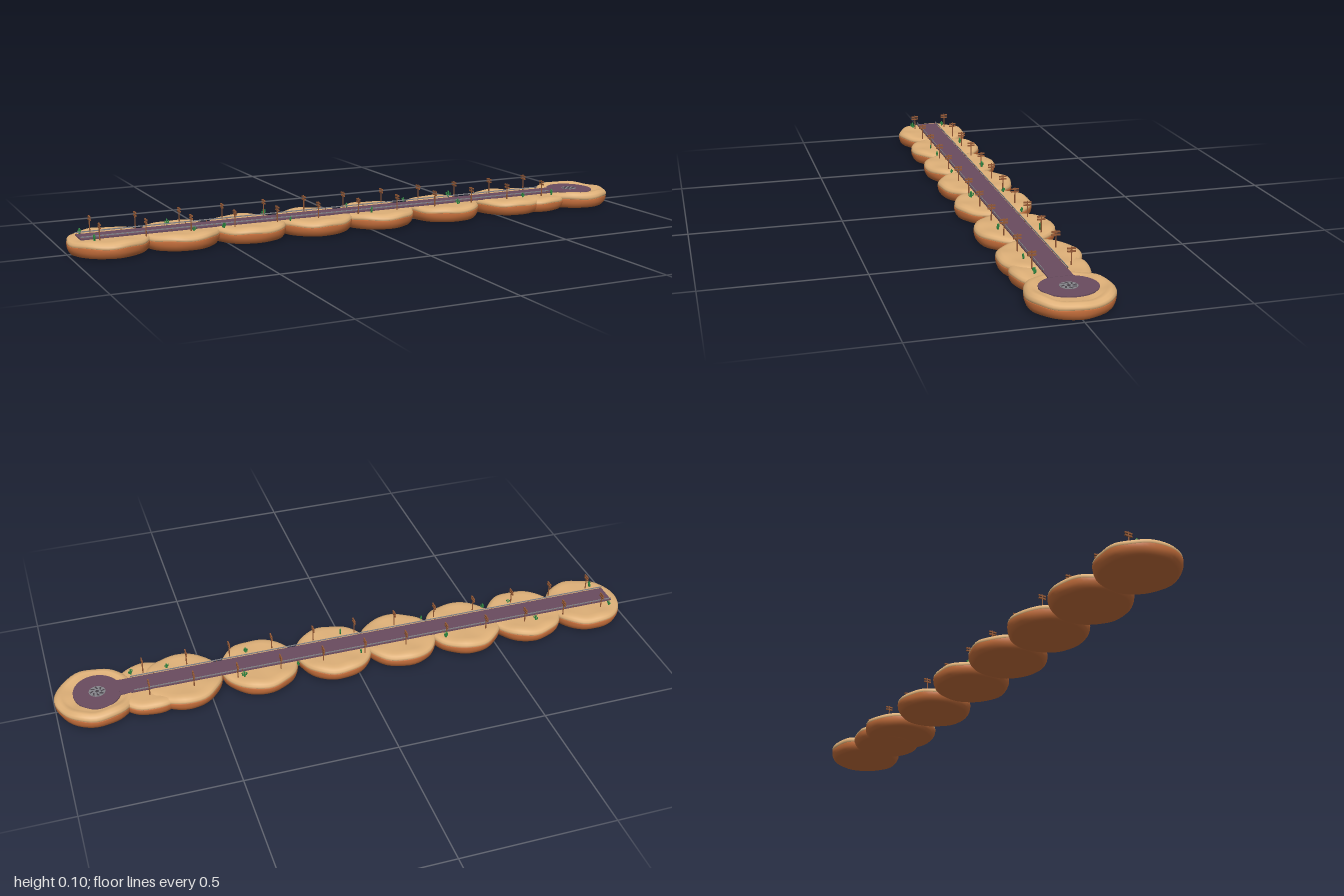
import * as THREE from 'three';
import { mergeVertices } from 'three/addons/utils/BufferGeometryUtils.js';

const mat = (name, color) => {
  const m = new THREE.MeshStandardMaterial({ color });
  m.name = name;
  return m;
};

export function createModel() {
  const root = new THREE.Group();
  root.name = 'desertRoad';
  const sand = mat('sand', 0xdeb078);
  const rock = mat('rock', 0xc8703c);
  const asphalt = mat('asphalt', 0x6a4c5f);
  const wood = mat('wood', 0x965a36);
  const green = mat('cactusGreen', 0x2f8a42);
  const iron = mat('iron', 0x4a444c);
  const steel = mat('steel', 0x85858a);

  const add = (parent, name, geo, material, x = 0, y = 0, z = 0) => {
    const m = new THREE.Mesh(geo, material);
    m.name = name;
    m.position.set(x, y, z);
    parent.add(m);
    return m;
  };

  // Lathe whose radius wobbles with the angle and whose rim dips at both x ends
  const blob = (profile, seed, dip = 0) => {
    const g = new THREE.LatheGeometry(profile.map(p => new THREE.Vector2(...p)), 48);
    g.deleteAttribute('normal');
    g.deleteAttribute('uv');
    const p = g.attributes.position;
    for (let i = 0; i < p.count; i++) {
      const x = p.getX(i), y = p.getY(i), z = p.getZ(i);
      const a = Math.atan2(z, x);
      const k = 1 + 0.01 * Math.sin(5 * a + seed) + 0.006 * Math.sin(9 * a + 2 * seed);
      const r = Math.hypot(x, z);
      const lift = r > 0.08 ? 0.0018 * Math.sin(6 * a + seed) : 0;
      const fall = r > 0.09 && y > 0.05 ? dip * Math.cos(a) ** 2 : 0;
      p.setXYZ(i, x * k, y > 0.022 ? y + lift - fall : y, z * k);
    }
    const merged = mergeVertices(g, 1e-5);
    merged.computeVertexNormals();
    return merged;
  };

  // Sandstone pads: a steep rocky base with a small ledge and a sandy cap
  const lower = [[0, 0.003], [0.07, 0.002], [0.113, 0.0015], [0.119, 0.004], [0.125, 0.011], [0.129, 0.021], [0.1305, 0.033], [0.128, 0.0345]];
  const cap = [[0.127, 0.0335], [0.1295, 0.036], [0.129, 0.042], [0.124, 0.0485], [0.112, 0.0535], [0.095, 0.053], [0.06, 0.051], [0, 0.05]];
  const dish = [[0.127, 0.0335], [0.13, 0.036], [0.131, 0.043], [0.127, 0.052], [0.117, 0.0585], [0.105, 0.0585], [0.092, 0.052], [0, 0.051]];
  const pads = [[-0.87, 1], [-0.64, 1], [-0.41, 1], [-0.175, 1], [0.06, 1], [0.32, 1], [0.58, 1], [0.69, 0.93], [0.867, 1]];
  pads.forEach(([x, s], i) => {
    const pad = new THREE.Group();
    pad.name = 'pad' + (i + 1);
    const last = i === pads.length - 1;
    add(pad, 'rockBase', blob(lower, i * 1.7), rock);
    add(pad, 'sandCap', blob(last ? dish : cap, i * 1.7, last ? 0.006 : 0.003), sand);
    pad.position.x = x;
    pad.scale.setScalar(s);
    root.add(pad);
  });

  // Road with low rails on both sides, ending in a round plaza
  add(root, 'road', new THREE.BoxGeometry(1.755, 0.004, 0.076), asphalt, -0.0875, 0.0532, 0);
  const railPostGeo = new THREE.BoxGeometry(0.0018, 0.007, 0.0018);
  for (const s of [-1, 1]) {
    add(root, 'rail', new THREE.BoxGeometry(1.71, 0.0035, 0.0018), steel, -0.11, 0.0608, s * 0.037);
    for (let i = 0; i < 25; i++)
      add(root, 'railPost', railPostGeo, wood, -0.96 + i * 0.0708, 0.0568, s * 0.037);
  }
  const plaza = add(root, 'plaza', new THREE.CylinderGeometry(0.078, 0.078, 0.004, 40), asphalt, 0.86, 0.0522, 0);
  plaza.scale.z = 1.12;

  // Round metal cover in the plaza
  const cover = new THREE.Group();
  cover.name = 'plazaCover';
  add(cover, 'coverPlate', new THREE.CylinderGeometry(0.027, 0.027, 0.001, 28), steel);
  for (let i = 0; i < 8; i++) {
    const a = i * Math.PI / 4;
    const spoke = add(cover, 'coverSpoke', new THREE.BoxGeometry(0.013, 0.0015, 0.005), iron,
      0.018 * Math.cos(a), 0.0005, 0.018 * Math.sin(a));
    spoke.rotation.y = -a + 0.5;
  }
  add(cover, 'coverHub', new THREE.CylinderGeometry(0.006, 0.006, 0.002, 12), iron);
  cover.position.set(0.86, 0.0547, 0);
  root.add(cover);

  // Utility poles in pairs along the road
  const poleGeo = new THREE.CylinderGeometry(0.0018, 0.0022, 0.057, 8);
  const armGeo = new THREE.BoxGeometry(0.004, 0.005, 0.026);
  for (let i = 0; i < 12; i++) {
    for (const z of [-0.062, 0.059]) {
      const pole = new THREE.Group();
      pole.name = 'utilityPole';
      add(pole, 'post', poleGeo, wood, 0, 0.0285, 0);
      for (const y of [0.043, 0.052]) add(pole, 'crossArm', armGeo, wood, 0, y, 0);
      pole.position.set(-0.912 + i * 0.1465, 0.049, z);
      root.add(pole);
    }
  }

  // Cacti: a trunk with two bent arms
  const trunkGeo = new THREE.CapsuleGeometry(0.0032, 0.018, 4, 10);
  const armPath = new THREE.CatmullRomCurve3([[0, 0.008], [0.005, 0.0085], [0.007, 0.012], [0.007, 0.017]]
    .map(([z, y]) => new THREE.Vector3(0, y, z)));
  const limbGeo = new THREE.TubeGeometry(armPath, 8, 0.0022, 8);
  const tipGeo = new THREE.SphereGeometry(0.0022, 8, 6);
  const cacti = [[-0.93, 0.065, 1], [-0.945, -0.06, 0.8], [-0.66, -0.065, 0.9], [-0.61, 0.062, 0.7],
    [-0.51, 0.06, 0.8], [-0.325, -0.064, 1], [-0.28, 0.06, 0.7], [0.015, 0.063, 1], [-0.02, -0.06, 0.7],
    [0.2, -0.06, 0.7], [0.35, 0.062, 0.9], [0.385, -0.065, 1], [0.62, 0.06, 0.8], [0.74, 0.063, 0.9]];
  cacti.forEach(([x, z, s], i) => {
    const cactus = new THREE.Group();
    cactus.name = 'cactus';
    add(cactus, 'trunk', trunkGeo, green, 0, 0.011, 0);
    for (const side of [0, 1]) {
      const limb = new THREE.Group();
      limb.name = 'cactusArm';
      add(limb, 'branch', limbGeo, green);
      add(limb, 'tip', tipGeo, green, 0, 0.017, 0.007);
      limb.rotation.y = side * Math.PI;
      limb.position.y = side * -0.003;
      cactus.add(limb);
    }
    cactus.rotation.y = i * 0.4;
    cactus.scale.setScalar(s);
    cactus.position.set(x, 0.05, z);
    root.add(cactus);
  });

  // Centre the model and stand it on the ground
  const box = new THREE.Box3().setFromObject(root, true);
  root.position.set(-(box.min.x + box.max.x) / 2, -box.min.y, -(box.min.z + box.max.z) / 2);
  return root;
}
